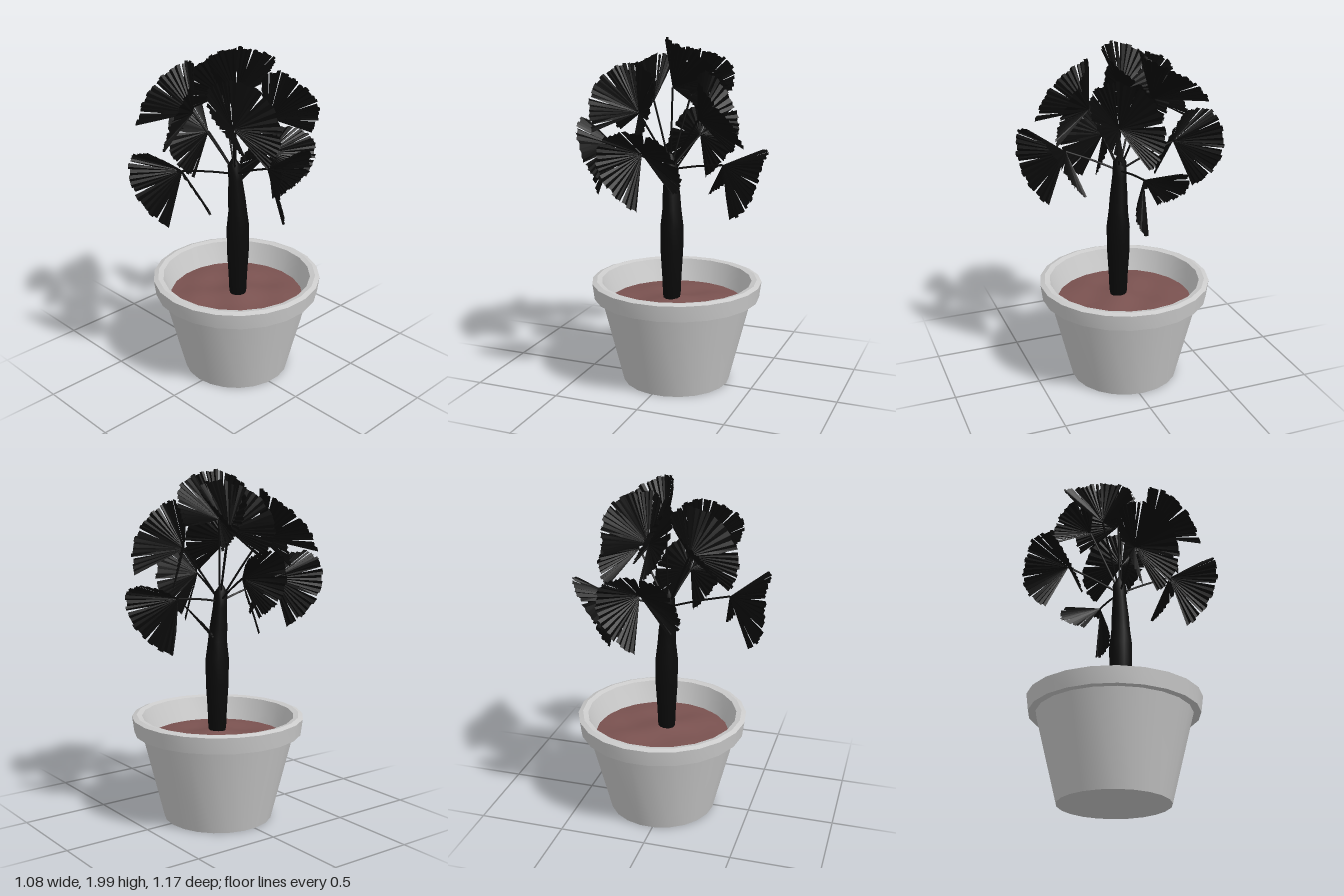
import * as THREE from 'three';
import { toCreasedNormals } from 'three/addons/utils/BufferGeometryUtils.js';

const potMat = new THREE.MeshStandardMaterial({ color: 0xcccccc });
const soilMat = new THREE.MeshStandardMaterial({ color: 0x7a5250 });
const plantMat = new THREE.MeshStandardMaterial({ color: 0x0a0a0a, side: THREE.DoubleSide });

const v2 = (list) => list.map(([x, y]) => new THREE.Vector2(x, y));
const v3 = (list) => list.map((p) => new THREE.Vector3(...p));

function addMesh(parent, name, geometry, material) {
  const mesh = new THREE.Mesh(geometry, material);
  mesh.name = name;
  parent.add(mesh);
  return mesh;
}

// Rim curves of the two folded halves of a fan leaf (x outward, y up, z sideways)
const rims = [
  [[0.23, 0.15, 0.03], [0.23, 0.1, 0.14], [0.23, -0.05, 0.16], [0.19, -0.2, 0.08], [0.11, -0.3, -0.01]],
  [[0.23, 0.15, 0.02], [0.17, 0.1, -0.15], [0.07, -0.08, -0.235], [-0.01, -0.18, -0.205], [-0.06, -0.23, -0.15]],
].map((pts) => new THREE.CatmullRomCurve3(v3(pts)));

// Pleated half fan: every blade is folded along its middle, and some tips are split apart
function halfFan(curve, blades, seed) {
  const pos = [];
  const hub = new THREE.Vector3();
  for (let i = 0; i < blades; i++) {
    const split = (i + seed) % 5 === 0 ? 0.35 : 0;
    const reach = 1 + 0.02 * Math.sin(i * 2.4 + seed);
    const a = curve.getPoint(i / blades);
    const b = curve.getPoint((i + 1 - split) / blades);
    const mid = curve.getPoint((i + 0.5 - split / 2) / blades);
    const normal = a.clone().cross(b).normalize();
    const innerB = curve.getPoint((i + 1) / blades).multiplyScalar(0.55);
    const innerA = a.clone().multiplyScalar(0.55);
    const innerMid = mid.clone().multiplyScalar(0.55).addScaledVector(normal, 0.006);
    mid.multiplyScalar(reach).addScaledVector(normal, 0.01);
    a.multiplyScalar(reach);
    b.multiplyScalar(reach);
    const tris = [
      hub, innerA, innerMid, hub, innerMid, innerB,
      innerA, a, mid, innerA, mid, innerMid,
      innerMid, mid, b, innerMid, b, innerB,
    ];
    for (const p of tris) pos.push(p.x, p.y, p.z);
  }
  const geo = new THREE.BufferGeometry();
  geo.setAttribute('position', new THREE.Float32BufferAttribute(pos, 3));
  geo.computeVertexNormals();
  return geo;
}

export function createModel() {
  const model = new THREE.Group();
  model.name = 'pottedPalm';

  // Pot with a raised rim and a hollow inside
  const potProfile = v2([
    [0, 0], [0.312, 0], [0.438, 0.505], [0.48, 0.505], [0.492, 0.597],
    [0.465, 0.607], [0.435, 0.6], [0.385, 0.44],
  ]);
  const pot = addMesh(model, 'pot', toCreasedNormals(new THREE.LatheGeometry(potProfile, 22), 0.5), potMat);
  pot.position.set(-0.025, 0, -0.03);

  // Slightly lumpy soil
  const soilGeo = new THREE.RingGeometry(0.001, 0.395, 32, 8).rotateX(-Math.PI / 2);
  const sp = soilGeo.attributes.position;
  for (let i = 0; i < sp.count; i++) {
    const x = sp.getX(i), z = sp.getZ(i);
    const fade = 1 - Math.hypot(x, z) / 0.395;
    sp.setY(i, 0.468 + 0.025 * fade + 0.014 * Math.sin(x * 17 + 1) * Math.cos(z * 14) * Math.min(1, fade * 3));
  }
  soilGeo.computeVertexNormals();
  addMesh(model, 'soil', soilGeo, soilMat).position.set(-0.025, 0, -0.03);

  // Trunk, swollen in the middle and bent a little
  const trunkGeo = new THREE.LatheGeometry(v2([
    [0.04, 0.45], [0.052, 0.52], [0.056, 0.62], [0.066, 0.78], [0.067, 0.92],
    [0.055, 1.02], [0.051, 1.1], [0.04, 1.22], [0.038, 1.3], [0.0, 1.36],
  ]), 12);
  const tp = trunkGeo.attributes.position;
  for (let i = 0; i < tp.count; i++) {
    const y = tp.getY(i);
    tp.setX(i, tp.getX(i) + 0.005 - 0.05 * Math.max(0, y - 1));
    tp.setZ(i, tp.getZ(i) - 0.012 + 0.05 * Math.max(0, y - 1));
  }
  trunkGeo.computeVertexNormals();
  addMesh(model, 'trunk', trunkGeo, plantMat);

  // Leaves: hub position, outward direction in x and z, upward pitch in degrees
  const leaves = [
    { hub: [-0.04, 1.36, 0.36], out: [-0.05, 1], pitch: 0 },
    { hub: [0.29, 1.38, 0.05], out: [1, -0.02], pitch: 0 },
    { hub: [-0.3, 1.41, -0.07], out: [-1, 0], pitch: 5 },
    { hub: [-0.03, 1.29, -0.3], out: [-0.1, -1], pitch: -14 },
    { hub: [0.12, 1.58, 0.14], out: [0.85, 0.53], pitch: 55 },
    { hub: [-0.165, 1.61, 0.165], out: [-0.7, 0.7], pitch: 57 },
    { hub: [0.07, 1.55, -0.19], out: [0.28, -0.96], pitch: 45 },
    { hub: [-0.17, 1.66, -0.06], out: [-0.85, -0.53], pitch: 70 },
    { hub: [-0.01, 1.71, -0.01], out: [-0.3, -0.95], pitch: 64 },
  ];
  const crown = new THREE.Vector3(-0.005, 1.25, 0);
  leaves.forEach(({ hub, out, pitch }, i) => {
    const leaf = new THREE.Group();
    leaf.name = 'leaf';
    const end = new THREE.Vector3(...hub);

    // Stalk from the crown to the fan
    const bend = crown.clone().lerp(end, 0.5);
    bend.y += 0.006;
    const stalk = new THREE.CatmullRomCurve3([crown, bend, end]);
    addMesh(leaf, 'stalk', new THREE.TubeGeometry(stalk, 6, 0.006, 5), plantMat);

    // Folded fan blade
    const fan = new THREE.Group();
    fan.name = 'fan';
    fan.position.copy(end);
    fan.rotation.set(0, Math.atan2(-out[1], out[0]), THREE.MathUtils.degToRad(pitch), 'YZX');
    rims.forEach((rim, k) => addMesh(fan, 'halfFan', halfFan(rim, 18, i + 2 * k), plantMat));
    leaf.add(fan);
    model.add(leaf);
  });
  return model;
}
